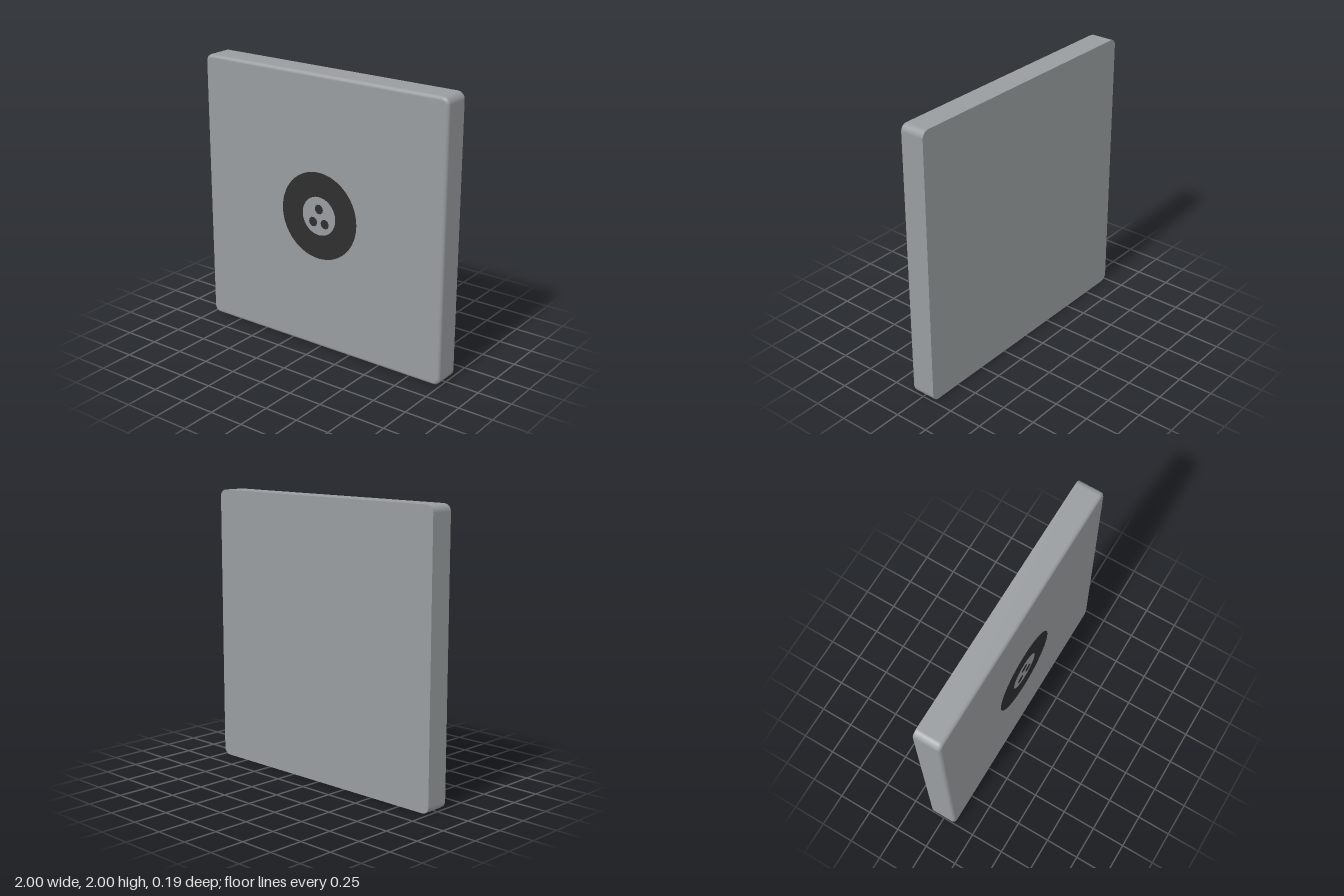
import * as THREE from 'three';

const HALF = 1, DEPTH = 0.19, CORNER = 0.05, BEVEL = 0.025;
const FRONT = DEPTH / 2;

// Outline of the rounded square, counter-clockwise, with each point's outward angle
function outline(inset) {
  const points = [], segments = 4, c = HALF - CORNER, r = CORNER - inset;
  for (let q = 0; q < 4; q++) {
    const mid = (q + 0.5) * Math.PI / 2;
    for (let i = 0; i <= segments; i++) {
      const a = (q + i / segments) * Math.PI / 2;
      points.push({
        x: Math.sign(Math.cos(mid)) * c + Math.cos(a) * r,
        y: Math.sign(Math.sin(mid)) * c + Math.sin(a) * r,
        a,
      });
    }
  }
  return points;
}

// Side wall that rolls over into the front face; the back edge stays sharp
function rimGeometry() {
  const rings = [{ z: -FRONT, t: 0 }];
  for (let i = 0; i <= 4; i++) {
    const t = i / 4 * Math.PI / 2;
    rings.push({ z: FRONT - BEVEL + BEVEL * Math.sin(t), t });
  }
  const position = [], normal = [], index = [];
  let n = 0;
  rings.forEach(({ z, t }, k) => {
    const loop = outline(BEVEL * (1 - Math.cos(t)));
    n = loop.length;
    loop.forEach(({ x, y, a }, i) => {
      position.push(x, y, z);
      normal.push(Math.cos(a) * Math.cos(t), Math.sin(a) * Math.cos(t), Math.sin(t));
      if (k === 0) return;
      const j = (i + 1) % n, lo = (k - 1) * n, hi = k * n;
      index.push(lo + i, lo + j, hi + j, lo + i, hi + j, hi + i);
    });
  });
  const geometry = new THREE.BufferGeometry();
  geometry.setAttribute('position', new THREE.Float32BufferAttribute(position, 3));
  geometry.setAttribute('normal', new THREE.Float32BufferAttribute(normal, 3));
  geometry.setIndex(index);
  return geometry;
}

function faceGeometry(inset) {
  return new THREE.ShapeGeometry(
    new THREE.Shape(outline(inset).map((p) => new THREE.Vector2(p.x, p.y))));
}

export function createModel() {
  const metal = new THREE.MeshStandardMaterial({ color: 0x999d9f });
  metal.name = 'grey metal';
  const black = new THREE.MeshStandardMaterial({ color: 0x2e2e2e });
  black.name = 'black';

  const model = new THREE.Group();
  model.name = 'wallPlate';
  const add = (name, geometry, material, x = 0, y = 1, z = 0) => {
    const mesh = new THREE.Mesh(geometry, material);
    mesh.name = name;
    mesh.position.set(x, y, z);
    model.add(mesh);
    return mesh;
  };

  // Plate body
  add('plateRim', rimGeometry(), metal);
  add('plateFront', faceGeometry(BEVEL), metal, 0, 1, FRONT);
  add('plateBack', faceGeometry(0).rotateY(Math.PI), metal, 0, 1, -FRONT);

  // Round socket with three contacts
  const skin = FRONT + 0.002;
  add('socketRing', new THREE.RingGeometry(0.14, 0.316, 64), black, 0, 1, skin);
  [[0, 1.05], [-0.05, 0.95], [0.05, 0.95]].forEach(([x, y], i) =>
    add('contact' + (i + 1), new THREE.CircleGeometry(0.035, 10), black, x, y, skin));

  return model;
}
